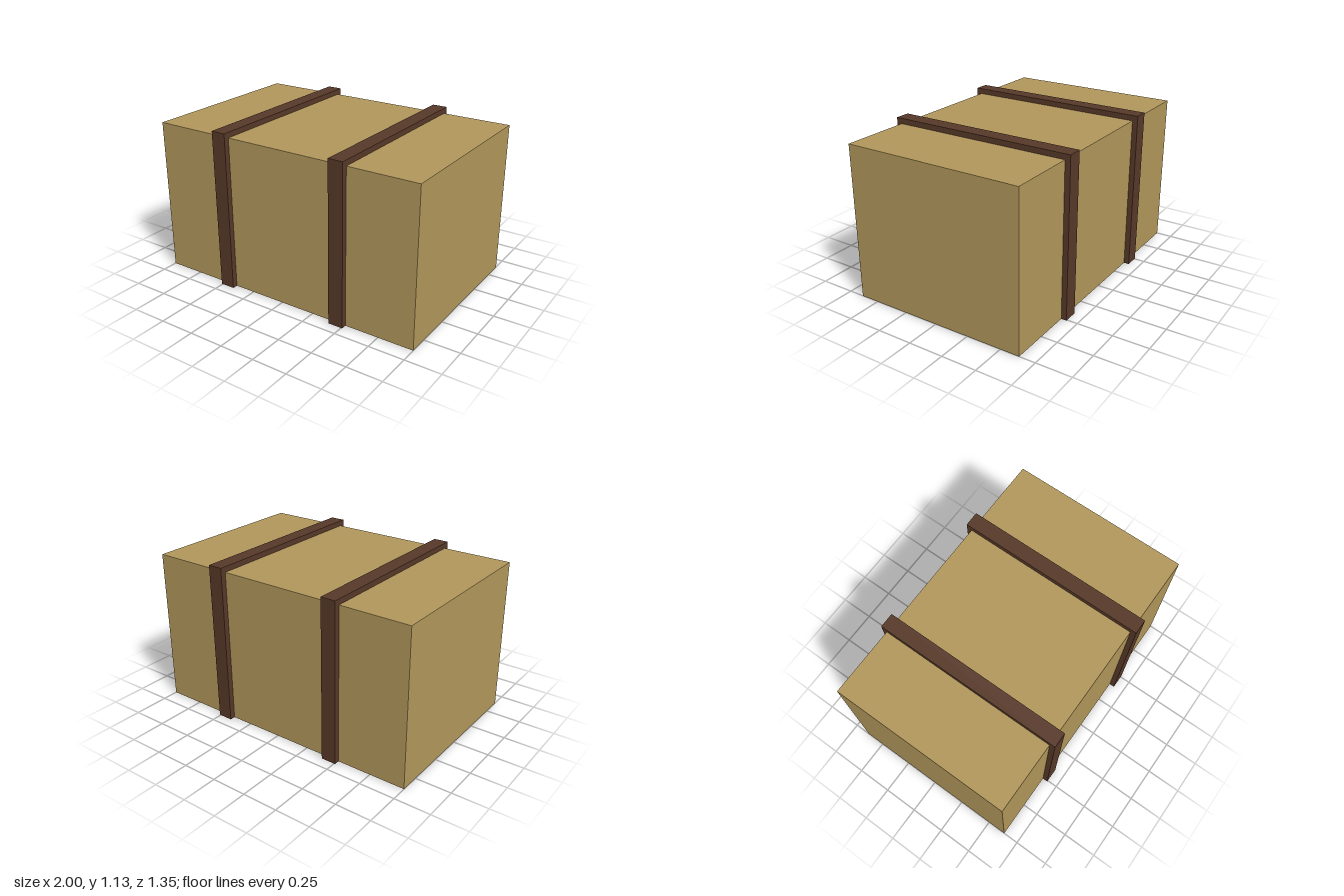
import * as THREE from 'three';

const material = (color) => new THREE.MeshStandardMaterial({ color, side: THREE.DoubleSide });

// Box standing on y = 0 with its underside left open
function openBox(name, width, height, depth, mat) {
  const geometry = new THREE.BoxGeometry(width, height, depth);
  const index = Array.from(geometry.index.array);
  index.splice(18, 6); // drop the bottom face
  geometry.setIndex(index);
  geometry.clearGroups();
  geometry.translate(0, height / 2, 0);
  const mesh = new THREE.Mesh(geometry, mat);
  mesh.name = name;
  return mesh;
}

export function createModel() {
  const group = new THREE.Group();
  group.name = 'strappedCrate';

  // Crate body, hollow and open below
  group.add(openBox('crateBody', 2, 1.092, 1.272, material(0xb0965a)));

  // Two straps running over the top and down front and back
  const strapMaterial = material(0x563828);
  for (const side of [1, -1]) {
    const strap = openBox(side > 0 ? 'leftStrap' : 'rightStrap', 0.106, 1.13, 1.348, strapMaterial);
    strap.position.x = side * 0.455;
    group.add(strap);
  }
  return group;
}
